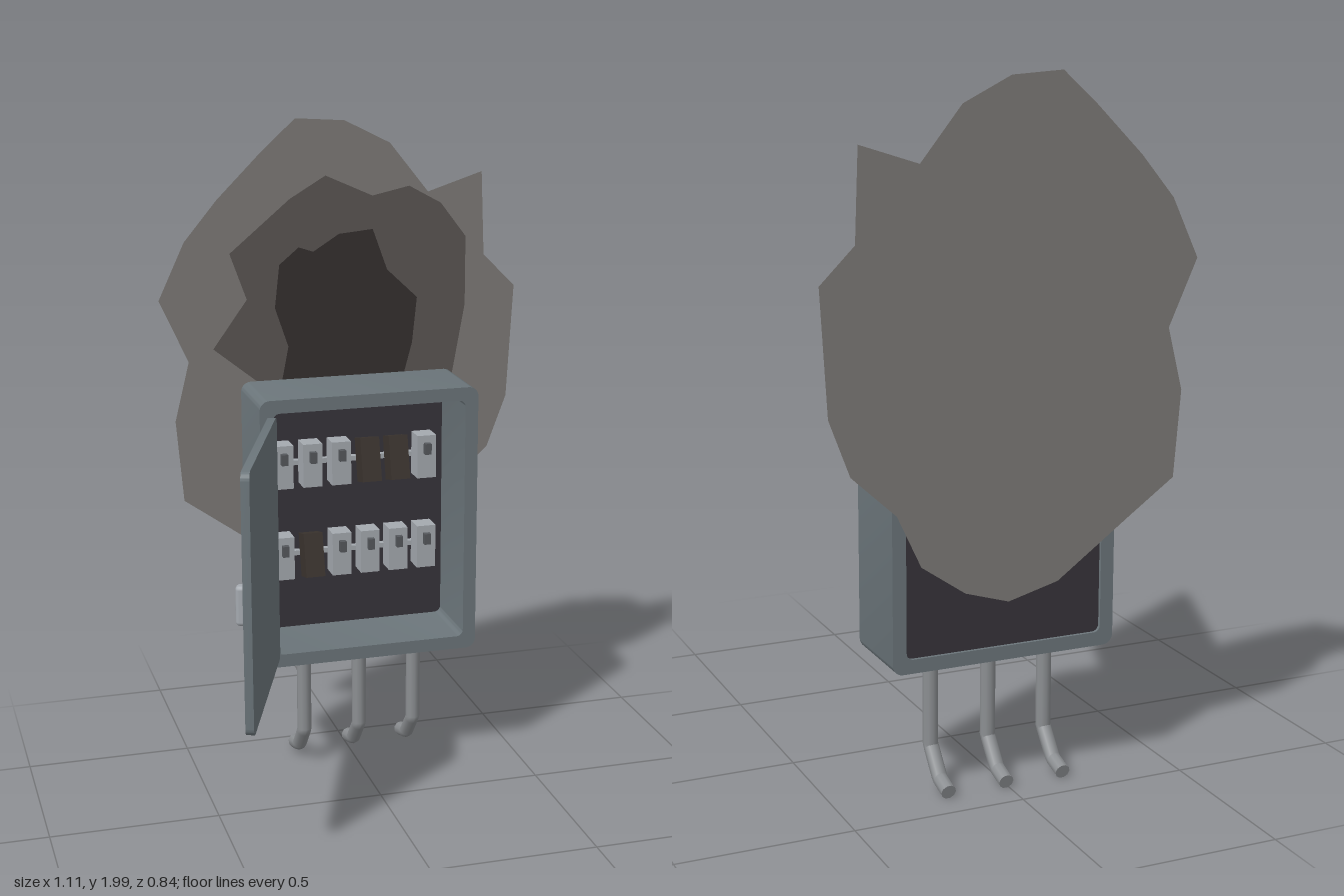
import * as THREE from 'three';
import { toCreasedNormals } from 'three/addons/utils/BufferGeometryUtils.js';
import { RoundedBoxGeometry } from 'three/addons/geometries/RoundedBoxGeometry.js';

const mat = (color, side = THREE.FrontSide) => new THREE.MeshStandardMaterial({ color, side });
const steel = mat(0x6b757a), dark = mat(0x37343a), grey = mat(0xa4a9af);
const burnt = mat(0x3a332e), lever = mat(0x55585c), pipeMat = mat(0x8c8f92), yellow = mat(0xa8932c);

function add(parent, name, geometry, material, x = 0, y = 0, z = 0) {
  const m = new THREE.Mesh(geometry, material);
  m.name = name;
  m.position.set(x, y, z);
  parent.add(m);
  return m;
}

// Rounded rectangle centred on the origin
function roundedRect(w, h, r, Type = THREE.Shape) {
  const s = new Type(), x = w / 2 - r, y = h / 2 - r;
  s.absarc(x, y, r, 0, Math.PI / 2);
  s.absarc(-x, y, r, Math.PI / 2, Math.PI);
  s.absarc(-x, -y, r, Math.PI, Math.PI * 1.5);
  s.absarc(x, -y, r, Math.PI * 1.5, Math.PI * 2);
  s.closePath();
  return s;
}

const extrude = (shape, depth) => toCreasedNormals(
  new THREE.ExtrudeGeometry(shape, { depth, bevelEnabled: false, curveSegments: 5 }), 0.6);

function makeCabinet() {
  const g = new THREE.Group();
  g.name = 'cabinet';
  g.position.set(0.016, 0.805, 0);
  const frame = roundedRect(0.67, 0.83, 0.03);
  frame.holes.push(roundedRect(0.59, 0.75, 0.02, THREE.Path));
  add(g, 'housing', extrude(frame, 0.25), steel, 0, 0, -0.412);
  add(g, 'backPanel', new THREE.BoxGeometry(0.59, 0.75, 0.012), dark, 0, 0, -0.396);
  return g;
}

// Open door, with its local +z as the outside face
function makeDoor() {
  const g = new THREE.Group();
  g.name = 'door';
  g.position.set(-0.387, 0.805, 0.133);
  g.rotation.y = -1.925;
  add(g, 'doorPanel', extrude(roundedRect(0.59, 0.75, 0.025), 0.024), steel, 0, 0, -0.012);
  add(g, 'warningPlate', new THREE.BoxGeometry(0.2, 0.115, 0.004), yellow, 0, 0.178, 0.014);
  add(g, 'doorHandle', new RoundedBoxGeometry(0.035, 0.115, 0.03, 2, 0.012), grey, 0.23, -0.015, 0.025);
  return g;
}

// Two rails of switches, some of them burnt and knocked askew
function makeBreakers() {
  const g = new THREE.Group();
  g.name = 'breakers';
  const rows = [{ y: 0.967, burntAt: [3, 4] }, { y: 0.677, burntAt: [1] }];
  for (const { y, burntAt } of rows) {
    add(g, 'rail', new THREE.BoxGeometry(0.53, 0.015, 0.02), grey, 0.012, y, -0.38);
    for (let i = 0; i < 6; i++) {
      const x = -0.214 + i * 0.0903, bad = burntAt.includes(i);
      const b = add(g, bad ? 'burntBreaker' : 'breaker',
        new THREE.BoxGeometry(0.06, 0.135, 0.065), bad ? burnt : grey, x, y + 0.004, -0.343);
      if (bad) {
        b.rotation.x = -0.24;
        b.position.z += 0.01;
      } else {
        add(g, 'breakerLever', new THREE.BoxGeometry(0.02, 0.034, 0.02), lever, x, y + 0.032, -0.302);
      }
    }
  }
  return g;
}

// Conduits dropping from the cabinet and bending back into the wall
function makeConduits() {
  const g = new THREE.Group();
  g.name = 'conduits';
  const pts = [[0.41, -0.288], [0.125, -0.288], [0.045, -0.355], [0.028, -0.416]]
    .map(([y, z]) => new THREE.Vector3(0, y, z));
  const path = new THREE.CurvePath();
  for (let i = 0; i < 3; i++) path.add(new THREE.LineCurve3(pts[i], pts[i + 1]));
  for (const x of [-0.165, 0.012, 0.189]) {
    add(g, 'conduit', new THREE.TubeGeometry(path, 32, 0.022, 10), pipeMat, x);
    const cap = add(g, 'conduitEnd', new THREE.CircleGeometry(0.022, 10), pipeMat, x, pts[3].y, pts[3].z);
    cap.lookAt(x, pts[3].y * 2 - pts[2].y, pts[3].z * 2 - pts[2].z);
  }
  return g;
}

// Flat jagged scorch marks on the wall behind, darkest in the middle
function makeScorch() {
  const g = new THREE.Group();
  g.name = 'scorchMarks';
  const layers = [
    ['outerScorch', 0x7d7a77, -0.419, [[-0.14, 2], [0.01, 1.99], [0.15, 1.92], [0.27, 1.77], [0.44, 1.825],
      [0.45, 1.57], [0.55, 1.47], [0.53, 1.12], [0.47, 0.96], [0.34, 0.84], [0.27, 0.69], [0.14, 0.6],
      [0.01, 0.56], [-0.14, 0.6], [-0.36, 0.76], [-0.5, 0.86], [-0.52, 1.11], [-0.475, 1.29],
      [-0.56, 1.48], [-0.48, 1.65], [-0.38, 1.77], [-0.24, 1.91]]],
    ['middleScorch', 0x5a5553, -0.4165, [[-0.05, 1.83], [0.095, 1.765], [0.21, 1.79], [0.31, 1.735], [0.39, 1.63],
      [0.39, 1.42], [0.35, 1.2], [0.28, 1.02], [0.1, 0.9], [-0.1, 0.93], [-0.25, 1.08], [-0.27, 1.22],
      [-0.4, 1.325], [-0.295, 1.47], [-0.345, 1.61], [-0.16, 1.765]]],
    ['innerScorch', 0x35302e, -0.414, [[-0.135, 1.62], [-0.09, 1.605], [-0.01, 1.655], [0.095, 1.665],
      [0.14, 1.54], [0.235, 1.45], [0.22, 1.31], [0.19, 1.2], [0.08, 1.1], [-0.09, 1.12], [-0.19, 1.22],
      [-0.17, 1.32], [-0.21, 1.44], [-0.195, 1.57]]],
  ];
  for (const [name, color, z, pts] of layers) {
    const shape = new THREE.Shape(pts.map(([x, y]) => new THREE.Vector2(x, y)));
    add(g, name, new THREE.ShapeGeometry(shape), mat(color, THREE.DoubleSide), 0, 0, z);
  }
  return g;
}

export function createModel() {
  const model = new THREE.Group();
  model.name = 'burntFuseBox';
  model.add(makeCabinet(), makeDoor(), makeBreakers(), makeConduits(), makeScorch());
  return model;
}
